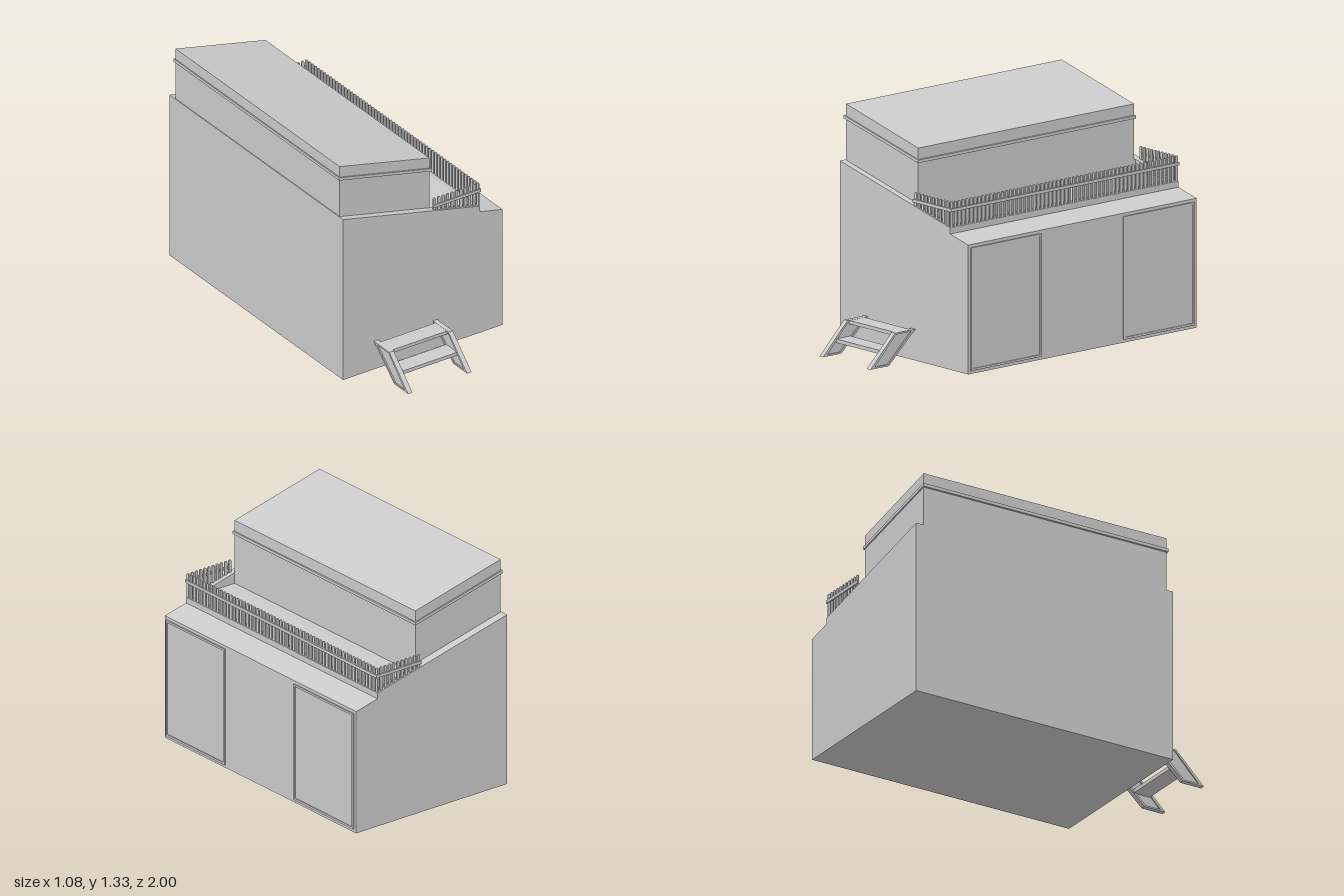
import * as THREE from 'three';

const grey = new THREE.MeshStandardMaterial({ color: 0xcccccc, flatShading: true });

function add(parent, name, geometry, x = 0, y = 0, z = 0) {
  const mesh = new THREE.Mesh(geometry, grey);
  mesh.name = name;
  mesh.position.set(x, y, z);
  parent.add(mesh);
  return mesh;
}

function box(parent, name, x0, x1, y0, y1, z0, z1) {
  return add(parent, name, new THREE.BoxGeometry(x1 - x0, y1 - y0, z1 - z0),
    (x0 + x1) / 2, (y0 + y1) / 2, (z0 + z1) / 2);
}

const polygon = (points) => new THREE.Shape(points.map(([x, y]) => new THREE.Vector2(x, y)));

// Extrude an x-y outline between two z positions
function slab(parent, name, points, z0, z1) {
  const g = new THREE.ExtrudeGeometry(polygon(points), { depth: z1 - z0, bevelEnabled: false });
  return add(parent, name, g, 0, 0, z0);
}

// Height of the sloping lower roof
const roofY = (x) => 0.8 + (0.38 - x) * 0.235;

// Picket outline with a rounded head, base at y = 0
function picketGeometry(width, height, depth) {
  const r = width / 2;
  const s = new THREE.Shape();
  s.moveTo(-r, 0);
  s.lineTo(r, 0);
  s.lineTo(r, height - r);
  s.absarc(0, height - r, r, 0, Math.PI, false);
  s.closePath();
  const g = new THREE.ExtrudeGeometry(s, { depth, bevelEnabled: false, curveSegments: 6 });
  return g.translate(0, 0, -depth / 2);
}

function createBody(root) {
  const body = new THREE.Group();
  body.name = 'body';
  root.add(body);
  const low = [[-0.535, 0], [0.53, 0], [0.53, 0.73], [0.38, 0.765], [0.38, 0.8]];
  const full = [...low, [-0.535, 1.015]];
  // The middle stretch carries a level terrace sunk into the slope
  const sunk = [...low, [0.335, roofY(0.335)], [0.07, 0.81], [0.07, roofY(0.07)], [-0.535, 1.015]];
  slab(body, 'frontEndWall', full, 0.63, 0.67);
  slab(body, 'hallWithTerrace', sunk, -0.96, 0.63);
  slab(body, 'backEndWall', full, -1, -0.96);
}

function createUpperStorey(root) {
  const upper = new THREE.Group();
  upper.name = 'upperStorey';
  root.add(upper);
  slab(upper, 'upperBlock',
    [[-0.53, 0.9], [-0.53, 0.81], [0.07, 0.81], [0.07, 1.188], [-0.53, 1.33]], -0.948, 0.63);
  // Moulding that follows the roof slope around the block
  slab(upper, 'roofMoulding',
    [[-0.539, 1.248], [0.077, 1.105], [0.077, 1.122], [-0.539, 1.266]], -0.956, 0.638);
}

function createFence(root) {
  const fence = new THREE.Group();
  fence.name = 'terraceFence';
  root.add(fence);
  const top = 0.945, thick = 0.008;
  // Long run
  const long = picketGeometry(0.018, top - 0.795, thick);
  const count = 58;
  for (let i = 0; i < count; i++) {
    const z = -0.988 + (1.646 * i) / (count - 1);
    add(fence, 'picket', long, 0.374, 0.795, z).rotation.y = Math.PI / 2;
  }
  box(fence, 'longRail', 0.378, 0.387, 0.889, 0.907, -1, 0.67);
  // Short runs at both ends, their feet following the slope
  for (const [z, out] of [[0.658, 1], [-0.988, -1]]) {
    for (let i = 0; i < 10; i++) {
      const x = 0.082 + i * 0.0293;
      const y = roofY(x) - 0.005;
      add(fence, 'picket', picketGeometry(0.018, top - y, thick), x, y, z);
    }
    const rail = z + out * 0.008;
    box(fence, 'shortRail', 0.068, 0.387, 0.889, 0.907, rail - 0.004, rail + 0.004);
  }
}

function createDoor(root, z0, z1) {
  const door = new THREE.Group();
  door.name = 'slidingDoor';
  root.add(door);
  const w = 0.012, y0 = 0.018, y1 = 0.712;
  box(door, 'doorPanel', 0.525, 0.532, y0 + w, y1 - w, z0 + w, z1 - w);
  for (const z of [z0, z1 - w]) box(door, 'doorJamb', 0.525, 0.538, y0, y1, z, z + w);
  for (const y of [y0, y1 - w]) box(door, 'doorRail', 0.525, 0.538, y, y + w, z0 + w, z1 - w);
}

function createSteps(root) {
  const steps = new THREE.Group();
  steps.name = 'steps';
  root.add(steps);
  const outline = [[1, 0], [0.82, 0.178], [0.67, 0.178], [0.865, 0]];
  const inner = [[0.967, 0.009], [0.813, 0.169], [0.7, 0.169], [0.873, 0.009]];
  // Extrude a z-y outline along x
  const side = (name, shape, x0, x1) => {
    const g = new THREE.ExtrudeGeometry(shape, { depth: x1 - x0, bevelEnabled: false });
    add(steps, name, g.rotateY(-Math.PI / 2), x1, 0, 0);
  };
  for (const [x0, x1] of [[-0.33, -0.301], [0.064, 0.093]]) {
    const rim = polygon(outline);
    rim.holes.push(polygon(inner));
    side('stringerRim', rim, x0, x1);
    side('stringerWeb', polygon(inner), x0 + 0.007, x1 - 0.007);
  }
  box(steps, 'upperTread', -0.305, 0.068, 0.157, 0.177, 0.695, 0.805);
  box(steps, 'lowerTread', -0.305, 0.068, 0.066, 0.087, 0.795, 0.9);
}

export function createModel() {
  const root = new THREE.Group();
  root.name = 'building';
  createBody(root);
  createUpperStorey(root);
  createFence(root);
  createDoor(root, 0.14, 0.655);
  createDoor(root, -0.98, -0.46);
  createSteps(root);
  return root;
}
